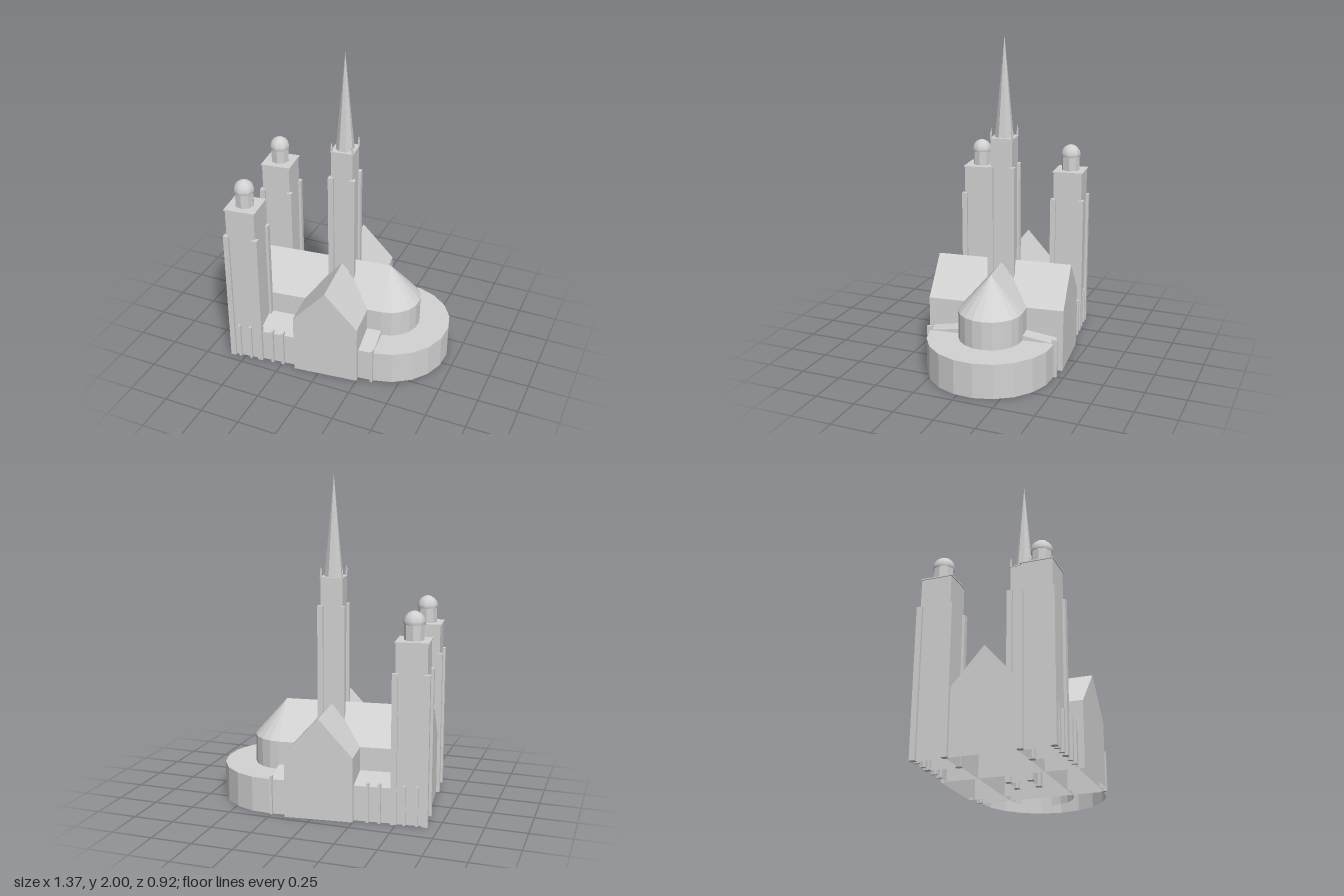
import * as THREE from 'three';

export function createModel() {
  const root = new THREE.Group();
  root.name = 'cathedral';
  const church = new THREE.Group();
  church.name = 'church';
  church.rotation.y = 0.11;
  church.position.z = -0.02;
  root.add(church);

  const stone = new THREE.MeshStandardMaterial({ color: 0xd2d2d2, side: THREE.DoubleSide });
  stone.name = 'pale stone';

  // Faceted normals
  const facet = (geo) => {
    const g = geo.index ? geo.toNonIndexed() : geo;
    g.computeVertexNormals();
    return g;
  };
  // Faceted shell without the faces lying on the plane axis = value
  const without = (geo, axis, value) => {
    const p = (geo.index ? geo.toNonIndexed() : geo).attributes.position;
    const kept = [];
    for (let i = 0; i < p.count; i += 3) {
      const corners = [0, 1, 2].map((k) => new THREE.Vector3().fromBufferAttribute(p, i + k));
      if (!corners.every((c) => Math.abs(c[axis] - value) < 1e-4)) kept.push(...corners);
    }
    return facet(new THREE.BufferGeometry().setFromPoints(kept));
  };
  const add = (name, geo, x = 0, y = 0, z = 0, parent = church) => {
    const mesh = new THREE.Mesh(geo, stone);
    mesh.name = name;
    mesh.position.set(x, y, z);
    parent.add(mesh);
    return mesh;
  };
  // Box standing on y0
  const block = (name, w, h, d, x, z, parent = church, y0 = 0) =>
    add(name, new THREE.BoxGeometry(w, h, d), x, y0 + h / 2, z, parent);
  // Hollow cross-section (across, up) extruded along its length, open below
  const prism = (points, length) => {
    const shape = new THREE.Shape(points.map(([a, b]) => new THREE.Vector2(a, b)));
    const geo = new THREE.ExtrudeGeometry(shape, { depth: length, bevelEnabled: false });
    return without(geo.translate(0, 0, -length / 2), 'y', 0);
  };
  const gable = (half, eave, ridge) => [[-half, 0], [half, 0], [half, eave], [0, ridge], [-half, eave]];

  const EAVE = 0.39, RIDGE = 0.615, WEST = -0.625, EAST = 0.3;
  const NAVE = 0.197, AISLE = 0.39, AISLE_TOP = 0.215;
  const naveLength = EAST - WEST, naveMiddle = (EAST + WEST) / 2;

  // Nave and crossing transept
  add('nave', prism(gable(NAVE, EAVE, RIDGE), naveLength).rotateY(Math.PI / 2), naveMiddle);
  add('transept', prism(gable(0.206, EAVE, RIDGE), 0.85));

  // Side aisles with lean-to roofs against the nave walls
  const aisle = [[NAVE, 0], [AISLE, 0], [AISLE, AISLE_TOP], [NAVE, 0.245]];
  for (const side of [-1, 1]) {
    const shell = without(prism(aisle, naveLength - 0.01), 'x', NAVE);
    add(side > 0 ? 'leftAisle' : 'rightAisle', shell.rotateY(-side * Math.PI / 2), naveMiddle + 0.005);
  }

  // Rounded east end with half-cone roof
  const halfDrum = (radius, height) =>
    facet(new THREE.CylinderGeometry(radius, radius, height, 10, 1, true, 0, Math.PI));
  add('apseWall', halfDrum(NAVE, EAVE), EAST, EAVE / 2);
  add('apseRoof', facet(new THREE.ConeGeometry(NAVE, RIDGE - EAVE, 10, 1, true, 0, Math.PI)), EAST, (EAVE + RIDGE) / 2);

  // Low ambulatory around it
  add('ambulatoryWall', halfDrum(AISLE, AISLE_TOP), EAST, AISLE_TOP / 2);
  add('ambulatoryRoof', new THREE.RingGeometry(NAVE, AISLE, 10, 1, -Math.PI / 2, Math.PI).rotateX(-Math.PI / 2), EAST, AISLE_TOP);

  // Hollow square tower with four corner buttresses
  const tower = (name, x, z, half, height, buttressHeight) => {
    const g = new THREE.Group();
    g.name = name;
    g.position.set(x, 0, z);
    church.add(g);
    const shaft = new THREE.BoxGeometry(half * 2, height, half * 2).translate(0, height / 2, 0);
    add('towerShaft', without(shaft, 'y', 0), 0, 0, 0, g);
    for (const sx of [-1, 1]) for (const sz of [-1, 1])
      block('cornerButtress', 0.034, buttressHeight, 0.034, sx * half, sz * half, g);
    return g;
  };

  // Twin west towers with domed lanterns
  const domeProfile = [[0.059, 0], [0.065, 0], [0.064, 0.02], [0.056, 0.043], [0.04, 0.061], [0.02, 0.072], [0, 0.077]]
    .map(([r, y]) => new THREE.Vector2(r, y));
  for (const side of [-1, 1]) {
    const g = tower(side > 0 ? 'leftWestTower' : 'rightWestTower', -0.536, side * 0.302, 0.092, 1.08, 0.9);
    block('towerCap', 0.196, 0.008, 0.196, 0, 0, g, 1.074);
    add('lantern', facet(new THREE.CylinderGeometry(0.059, 0.059, 0.1, 8, 1, true)), 0, 1.13, 0, g);
    add('dome', new THREE.LatheGeometry(domeProfile, 8), 0, 1.173, 0, g);

    // Small buttresses along the aisle
    for (const x of [-0.58, -0.507, -0.435, -0.36, -0.29, 0.295])
      block('aisleButtress', 0.016, 0.24, 0.034, x, side * 0.393);
  }

  // Crossing tower, pinnacles and spire
  const crossing = tower('crossingTower', 0, 0, 0.067, 1.39, 1.22);
  block('crossingCap', 0.142, 0.006, 0.142, 0, 0, crossing, 1.387);
  for (const sx of [-1, 1]) for (const sz of [-1, 1]) {
    block('pinnacleBase', 0.01, 0.03, 0.01, sx * 0.065, sz * 0.065, crossing, 1.39);
    add('pinnacle', facet(new THREE.ConeGeometry(0.007, 0.04, 4)), sx * 0.065, 1.44, sz * 0.065, crossing);
  }
  add('spire', facet(new THREE.ConeGeometry(0.057, 0.61, 8, 1, true).rotateY(Math.PI / 8)), 0, 1.695, 0, crossing);

  return root;
}
